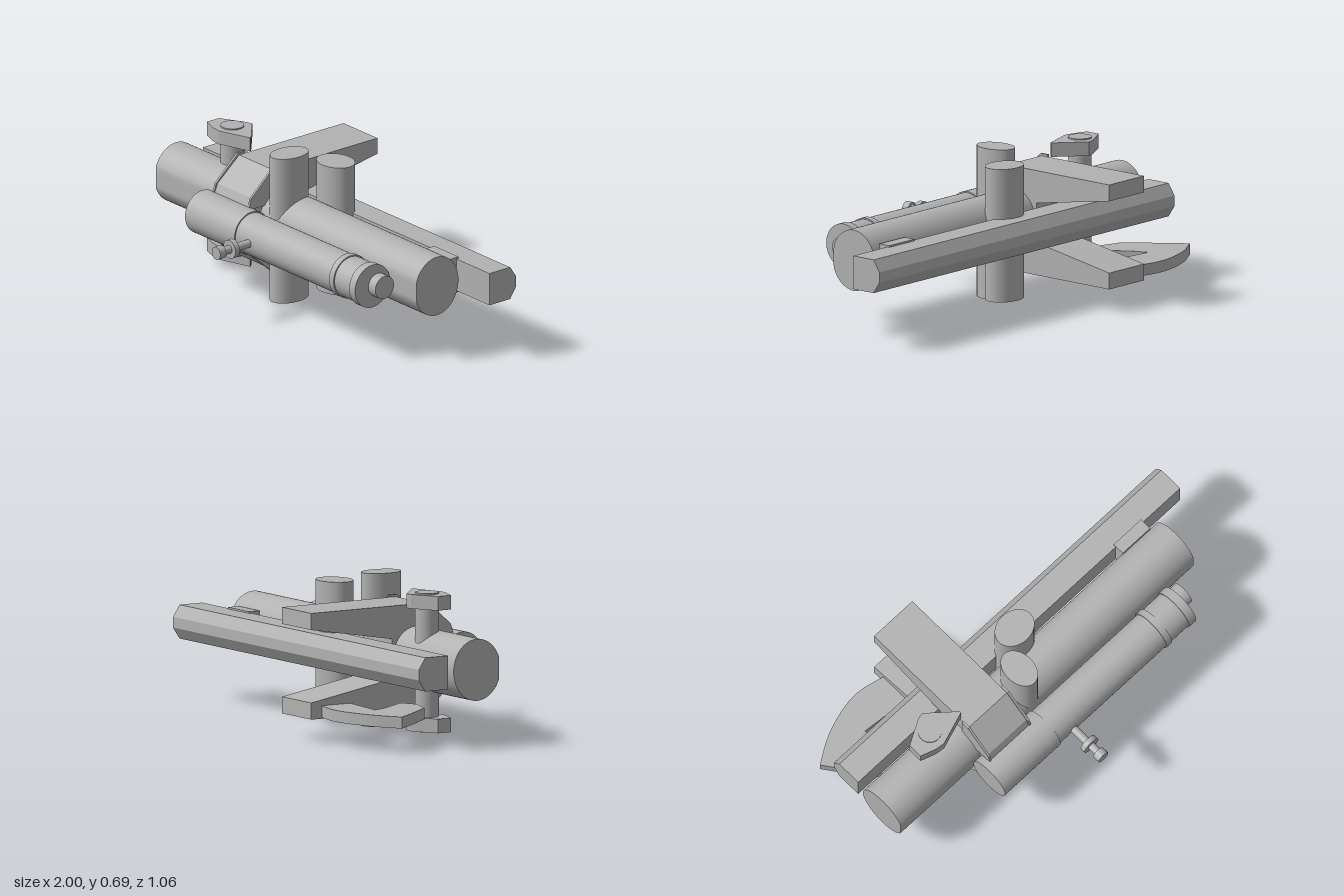
import * as THREE from 'three';
import { toCreasedNormals } from 'three/addons/utils/BufferGeometryUtils.js';

const MID = 0.346; // height of the symmetry plane

export function createModel() {
  const model = new THREE.Group();
  const grey = new THREE.MeshStandardMaterial({ color: 0xb2b2b2 });
  grey.name = 'grey';

  const add = (name, geometry, x = 0, y = 0, z = 0) => {
    const mesh = new THREE.Mesh(geometry, grey);
    mesh.name = name;
    mesh.position.set(x, y, z);
    model.add(mesh);
    return mesh;
  };
  const extrude = (points, depth) => new THREE.ExtrudeGeometry(
    new THREE.Shape(points.map(([a, b]) => new THREE.Vector2(a, b))),
    { depth, bevelEnabled: false });

  // [z, y] section running along x
  const bar = (name, section, x0, x1) => {
    const g = extrude(section.map(([z, y]) => [-z, y]), x1 - x0).rotateY(Math.PI / 2);
    return add(name, toCreasedNormals(g, 0.3), x0);
  };
  // [x, z] outline with a thickness in y
  const plate = (name, outline, y0, y1) => {
    const g = extrude(outline.map(([x, z]) => [x, -z]), y1 - y0).rotateX(-Math.PI / 2);
    return add(name, toCreasedNormals(g, 0.3), 0, y0);
  };
  // Upright elliptical post
  const post = (name, x, z, rx, rz, y0, y1) =>
    add(name, new THREE.CylinderGeometry(1, 1, y1 - y0, 48).scale(rx, 1, rz), x, (y0 + y1) / 2, z);
  // Round part lying along x
  const roller = (name, x0, x1, r, z) =>
    add(name, new THREE.CylinderGeometry(r, r, x1 - x0, 48).rotateZ(Math.PI / 2), (x0 + x1) / 2, MID, z);
  // Round part pointing forward
  const pin = (name, z0, z1, r) =>
    add(name, new THREE.CylinderGeometry(r, r, z1 - z0, 32).rotateX(Math.PI / 2), -0.115, MID, (z0 + z1) / 2);
  // Completes a half section with its reflection in the symmetry plane
  const mirrored = (half) =>
    [...half, ...half.map(([z, y]) => [z, 2 * MID - y]).reverse()];

  // Main barrel with a flat along its front
  const section = [];
  for (let i = 0; i < 64; i++) {
    const a = (i / 64) * Math.PI * 2;
    section.push([Math.min(0.03 + 0.125 * Math.cos(a), 0.147), MID + 0.139 * Math.sin(a)]);
  }
  bar('mainBarrel', section, -1, 0.82);

  // Upright posts
  post('frontPost', -0.177, 0.058, 0.068, 0.097, 0, 0.69);
  post('rearPost', -0.048, -0.105, 0.098, 0.078, 0.042, 0.65);

  // Front tube with collars and end knob
  roller('tubeSleeve', -0.55, -0.205, 0.101, 0.25);
  roller('tubeBody', -0.205, 0.6, 0.095, 0.25);
  roller('tubeRing', 0.455, 0.487, 0.101, 0.25);
  roller('tubeEndCollar', 0.595, 0.637, 0.101, 0.25);
  roller('tubeKnob', 0.637, 0.685, 0.054, 0.22);

  // Stud on the front tube
  pin('studShaft', 0.33, 0.5, 0.019);
  pin('studFlange', 0.43, 0.455, 0.043);
  pin('studCap', 0.497, 0.532, 0.03);

  // Rear rail and its spacer
  bar('rearRail', mirrored([[-0.125, 0.422], [-0.245, 0.422], [-0.28, 0.37]]), -1, 1);
  bar('railSpacer', mirrored([[-0.08, 0.43], [-0.138, 0.43]]), 0.6, 0.77);

  // Bracket clasping the barrel, with two tapered arms to the rear
  bar('bracket', mirrored([[-0.1, 0.436], [-0.18, 0.45], [-0.53, 0.51], [-0.53, 0.585],
    [0.075, 0.585], [0.2, 0.48], [0.22, 0.43]]), -0.507, -0.27);
  for (const x of [-0.516, -0.272]) {
    bar('bracketRim', mirrored([[0.04, 0.595], [0.08, 0.595], [0.208, 0.482], [0.222, 0.43], [0.04, 0.43]]), x, x + 0.011);
  }

  // Lever spindle with a lever at each end
  post('leverSpindle', -0.662, -0.015, 0.053, 0.053, 0.035, 0.66);
  const lever = [[-0.773, -0.03], [-0.655, -0.095], [-0.625, -0.1], [-0.5, 0.01],
    [-0.5, 0.018], [-0.655, 0.07], [-0.7, 0.065], [-0.773, 0.04]];
  plate('upperLever', lever, 0.59, 0.654);
  plate('lowerLever', lever, 0.038, 0.102);

  // Curved blade under the rail
  const arc = new THREE.SplineCurve([[-0.46, -0.46], [-0.655, -0.5], [-0.85, -0.455], [-1, -0.37]]
    .map(([x, z]) => new THREE.Vector2(x, z))).getPoints(20).map((p) => [p.x, p.y]);
  plate('blade', [...arc, [-0.935, -0.28], [-0.81, -0.125], [-0.69, -0.09], [-0.62, -0.13],
    [-0.72, -0.28], [-0.745, -0.345], [-0.46, -0.318]], 0.113, 0.165);

  return model;
}
